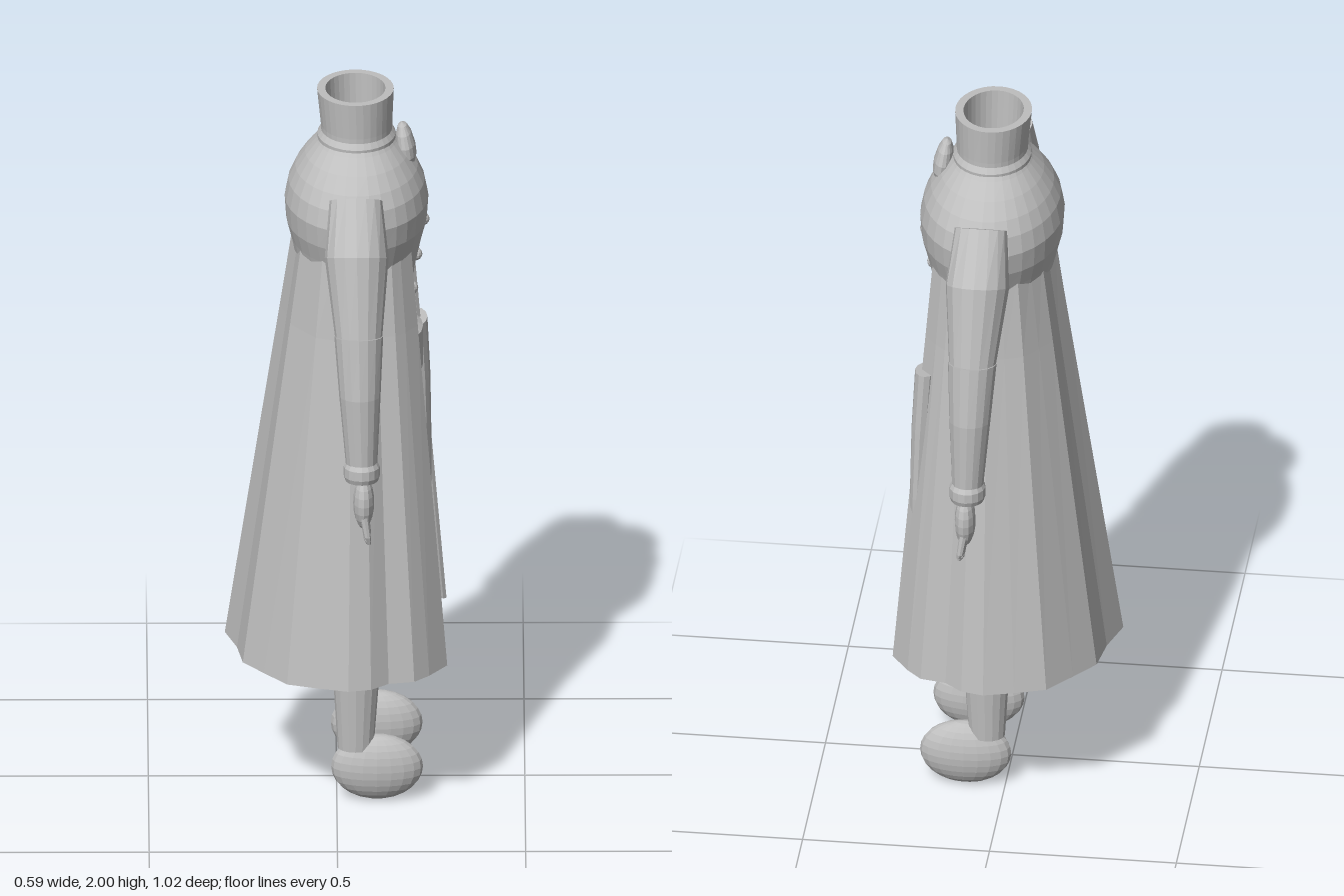
import * as THREE from 'three';

const cloth = new THREE.MeshStandardMaterial({ color: 0xbebebe, flatShading: true });
cloth.name = 'plain grey';

// Skin a stack of closed rings (bottom to top), optionally closing the ends
function skin(rings, capped = true) {
  const n = rings[0].length, pos = rings.flat(2), idx = [];
  for (let r = 0; r < rings.length - 1; r++) {
    for (let i = 0; i < n; i++) {
      const a = r * n + i, b = r * n + (i + 1) % n;
      idx.push(a, a + n, b, b, a + n, b + n);
    }
  }
  if (capped) {
    const last = (rings.length - 1) * n;
    for (let i = 1; i < n - 1; i++) {
      idx.push(0, i, i + 1);
      idx.push(last, last + i + 1, last + i);
    }
  }
  const g = new THREE.BufferGeometry();
  g.setAttribute('position', new THREE.Float32BufferAttribute(pos, 3));
  g.setIndex(idx);
  g.computeVertexNormals();
  return g;
}

// Oval ring: centre, half width along x, half width across, tilt towards y
function oval([x, y, z, rx, rz, tilt = 0], seg) {
  return Array.from({ length: seg }, (_, i) => {
    const a = i / seg * Math.PI * 2, w = rz * Math.sin(a);
    return [x + rx * Math.cos(a), y + w * Math.sin(tilt), z + w * Math.cos(tilt)];
  });
}
const loft = (sections, seg = 20, capped = true) => skin(sections.map(s => oval(s, seg)), capped);

export function createModel() {
  const model = new THREE.Group();
  model.name = 'coatedFigure';
  const add = (name, geometry, parent = model) => {
    const m = new THREE.Mesh(geometry, cloth);
    m.name = name;
    parent.add(m);
    return m;
  };
  const ball = (name, p, r, parent, w = 16, h = 12) => {
    const m = add(name, new THREE.SphereGeometry(1, w, h), parent);
    m.position.set(...p);
    m.scale.set(...r);
    return m;
  };

  // Torso, pelvis and belt
  add('torso', loft([
    [0.05, 1.24, 0, 0.145, 0.15], [0.05, 1.36, 0, 0.148, 0.15], [0.05, 1.42, 0, 0.148, 0.17],
    [0.052, 1.5, 0, 0.158, 0.2], [0.053, 1.58, 0, 0.174, 0.23], [0.053, 1.63, 0, 0.187, 0.248],
    [0.053, 1.69, 0, 0.191, 0.256], [0.053, 1.74, 0, 0.181, 0.243], [0.053, 1.78, 0, 0.163, 0.218],
    [0.053, 1.82, 0, 0.137, 0.18], [0.053, 1.855, 0, 0.108, 0.135], [0.053, 1.88, 0, 0.09, 0.11],
  ], 32));
  add('pelvis', loft([
    [0.05, 1.075, 0, 0.04, 0.03], [0.05, 1.095, 0, 0.1, 0.085],
    [0.05, 1.13, 0, 0.135, 0.125], [0.05, 1.19, 0, 0.155, 0.158], [0.05, 1.26, 0, 0.155, 0.16],
  ], 24));
  add('belt', loft([
    [0.05, 1.175, 0, 0.172, 0.168], [0.05, 1.2, 0, 0.18, 0.172],
    [0.05, 1.31, 0, 0.18, 0.172], [0.05, 1.32, 0, 0.165, 0.16],
  ], 28));

  // Hollow collar with a band at its foot
  add('collar', loft([
    [0.053, 1.85, 0, 0.094, 0.115], [0.053, 1.9, 0, 0.095, 0.115], [0.05, 2, 0, 0.102, 0.12],
    [0.05, 2, 0, 0.08, 0.098], [0.053, 1.87, 0, 0.076, 0.092],
  ], 32, false));
  add('collarBand', loft([
    [0.053, 1.85, 0, 0.104, 0.124], [0.053, 1.872, 0, 0.104, 0.126], [0.053, 1.887, 0, 0.094, 0.115],
  ], 32));

  // Teardrop brooch and button row on the chest
  const brooch = add('brooch', new THREE.LatheGeometry([
    [0, -0.062], [0.03, -0.054], [0.046, -0.03], [0.048, 0], [0.038, 0.034], [0.022, 0.056], [0, 0.064],
  ].map(p => new THREE.Vector2(...p)), 16));
  brooch.position.set(0.183, 1.838, 0);
  brooch.scale.x = 0.55;
  brooch.rotation.z = 0.15;
  [[0.229, 1.62], [0.21, 1.518], [0.199, 1.42]].forEach(([x, y]) =>
    ball('button', [x, y, 0], [0.018, 0.018, 0.018], model, 12, 8));

  // Long coat, open at the front: half of the wavy hem, then mirrored
  const half = [
    [0.293, 0.222], [0.245, 0.29], [0.205, 0.33], [0.137, 0.343], [0.09, 0.382], [0.03, 0.395],
    [-0.05, 0.373], [-0.133, 0.346], [-0.195, 0.27], [-0.25, 0.2], [-0.265, 0.1], [-0.297, 0],
  ];
  const hem = [...half, ...half.slice(0, -1).reverse().map(([x, z]) => [x, -z])];
  const outline = (y, kb, kf, kz, inset) => hem.map(([x, z]) =>
    [0.05 + (x - 0.05) * (x > 0.05 ? kf : kb) * inset, y, z * kz * inset]);
  const coatRing = (y, kb, kf, kz, inset) =>
    [...outline(y, kb, kf, kz, 1), ...outline(y, kb, kf, kz, inset).reverse()];
  add('coat', skin([
    coatRing(0.42, 1, 1, 1, 1), coatRing(0.42, 1, 1, 1, 0.965),
    coatRing(1.37, 0.58, 0.68, 0.63, 0.95), coatRing(1.61, 0.475, 0.6, 0.56, 0.94),
    coatRing(1.61, 0.475, 0.6, 0.56, 1),
  ], false));

  // Scabbard hanging from the belt on the right hip
  add('scabbard', loft([
    [0.235, 0.51, -0.18, 0.018, 0.03], [0.23, 0.9, -0.172, 0.023, 0.038],
    [0.222, 1.1, -0.16, 0.028, 0.045], [0.212, 1.27, -0.148, 0.03, 0.049, -0.12],
  ], 12));

  for (const s of [1, -1]) {
    const side = s > 0 ? 'left' : 'right';
    const limb = rows => rows.map(([x, y, z, rx, rz, t = 0]) => [x, y, z * s, rx, rz, t * s]);

    // Arm with cuff and hand
    const arm = new THREE.Group();
    arm.name = side + 'Arm';
    model.add(arm);
    add('upperArm', loft(limb([
      [0.057, 1.45, 0.41, 0.062, 0.06, 0.2], [0.052, 1.655, 0.335, 0.085, 0.09, 0.4],
      [0.05, 1.795, 0.278, 0.07, 0.05, 0.53],
    ]), 16), arm);
    add('forearm', loft(limb([
      [0.065, 1.08, 0.452, 0.04, 0.047, 0.1], [0.06, 1.3, 0.438, 0.055, 0.06, 0.1],
      [0.057, 1.46, 0.409, 0.065, 0.066, 0.2],
    ]), 16), arm);
    add('cuff', loft(limb([
      [0.065, 1.062, 0.452, 0.044, 0.053, 0.1], [0.065, 1.075, 0.452, 0.048, 0.058, 0.1],
      [0.065, 1.1, 0.449, 0.048, 0.06, 0.1], [0.065, 1.112, 0.448, 0.042, 0.052, 0.1],
    ]), 16), arm);
    ball('palm', [0.07, 1.0, 0.458 * s], [0.028, 0.075, 0.045], arm, 12, 10);
    [[0.492, 0.9], [0.471, 0.882], [0.449, 0.882], [0.428, 0.895]].forEach(([z, y]) =>
      add('finger', loft(limb([
        [0.084, y, z, 0.005, 0.005], [0.08, y + 0.012, z, 0.009, 0.009], [0.07, 0.975, z - (z - 0.458) * 0.2, 0.012, 0.012],
      ]), 8), arm));
    add('thumb', loft(limb([
      [0.085, 0.925, 0.406, 0.006, 0.006], [0.082, 0.945, 0.408, 0.01, 0.01], [0.075, 1.01, 0.43, 0.014, 0.014],
    ]), 8), arm);

    // Leg and rounded shoe
    const leg = new THREE.Group();
    leg.name = side + 'Leg';
    model.add(leg);
    add('thigh', loft(limb([
      [0.05, 0.74, 0.122, 0.075, 0.066], [0.05, 1.0, 0.1, 0.092, 0.076], [0.05, 1.18, 0.085, 0.1, 0.074],
    ]), 16), leg);
    add('shin', loft(limb([
      [0.05, 0.15, 0.145, 0.048, 0.04], [0.052, 0.42, 0.139, 0.066, 0.058], [0.05, 0.75, 0.123, 0.078, 0.069],
    ]), 16), leg);
    ball('shoe', [0.107, 0.094, 0.145 * s], [0.122, 0.092, 0.052], leg, 20, 14);
  }
  return model;
}
